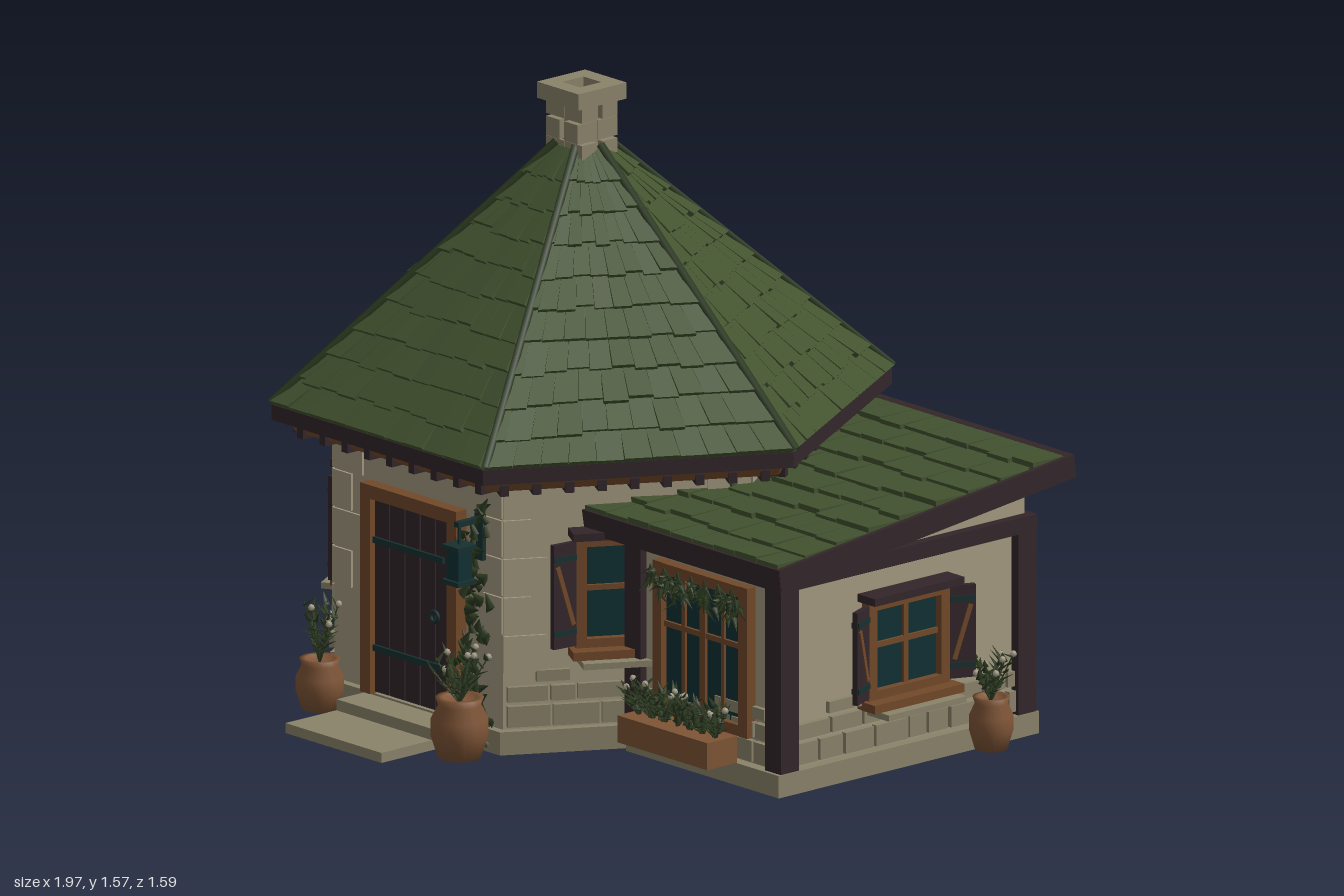
import * as THREE from 'three';
import { mergeGeometries } from 'three/addons/utils/BufferGeometryUtils.js';

const mat = (name, color, extra = {}) => {
  const m = new THREE.MeshStandardMaterial({ color, ...extra });
  m.name = name;
  return m;
};
const D = { side: THREE.DoubleSide };
const M = {
  plaster: mat('plaster', 0xa39a80),
  stone: mat('stone', 0x8a836b),
  roof: mat('roof green', 0x42522f, D),
  trim: mat('dark timber', 0x33262a),
  wood: mat('brown wood', 0x72492a),
  glass: mat('teal glass', 0x103034),
  leaf: mat('leaf green', 0x2c3a20, D),
  clay: mat('clay', 0x7f5536),
  flower: mat('pale flower', 0xa8a08c),
  metal: mat('dark metal', 0x17302f),
};

let seed = 7;
const rnd = (a = 0, b = 1) => {
  seed = (seed * 16807) % 2147483647;
  return a + (b - a) * (seed / 2147483647);
};

const add = (parent, name, geo, material, x = 0, y = 0, z = 0) => {
  const m = new THREE.Mesh(geo, material);
  m.name = name;
  m.position.set(x, y, z);
  parent.add(m);
  return m;
};
const box = (p, name, material, w, h, d, x, y, z) => add(p, name, new THREE.BoxGeometry(w, h, d), material, x, y, z);
const group = (p, name, x = 0, y = 0, z = 0, ry = 0) => {
  const g = new THREE.Group();
  g.name = name;
  g.position.set(x, y, z);
  g.rotation.y = ry;
  p.add(g);
  return g;
};
const hexCylinder = (rt, rb, h) => new THREE.CylinderGeometry(rt, rb, h, 6, 1, false, Math.PI / 6).toNonIndexed();
const flat = (g) => { g.computeVertexNormals(); return g; };

// Hexagonal ring standing on y = 0
function hexRing(ro, ri, h) {
  const pts = (r) => Array.from({ length: 6 }, (_, i) =>
    new THREE.Vector2(r * Math.cos(i * Math.PI / 3), r * Math.sin(i * Math.PI / 3)));
  const s = new THREE.Shape(pts(ro));
  s.holes.push(new THREE.Path(pts(ri)));
  return new THREE.ExtrudeGeometry(s, { depth: h, bevelEnabled: false }).rotateX(-Math.PI / 2);
}

// Courses of uneven stones along the foot of a wall that faces local +z
function stones(p, w) {
  const parts = [];
  [[0.065, 0.06], [0.13, 0.045], [0.18, 0.035]].forEach(([y, h], row) => {
    for (let x = -w / 2; x < w / 2 - 0.02;) {
      const len = Math.min(rnd(0.06, 0.13), w / 2 - x);
      if (row < 2 || rnd() > 0.5)
        parts.push(new THREE.BoxGeometry(len - 0.008, h - 0.006, 0.03).translate(x + len / 2, y + h / 2, rnd(-0.003, 0.002)));
      x += len;
    }
  });
  add(p, 'stone courses', mergeGeometries(parts), M.stone);
}

// Framed window with mullions, ledge, hood and two open shutters
function windowUnit(p, x, y, w, h) {
  const g = group(p, 'window', x, y, 0);
  box(g, 'window glass', M.glass, w - 0.03, h - 0.03, 0.09, 0, 0, -0.038);
  for (const s of [-1, 1]) {
    box(g, 'window jamb', M.wood, 0.028, h, 0.035, s * (w / 2 - 0.014), 0, 0.01);
    box(g, 'window rail', M.wood, w, 0.026, 0.035, 0, s * (h / 2 - 0.013), 0.01);
    const sh = group(g, 'shutter', s * w / 2, 0, 0.02, -s * 0.4);
    box(sh, 'shutter panel', M.trim, 0.07, h - 0.02, 0.014, s * 0.036, 0, 0);
    for (const t of [-1, 1]) box(sh, 'shutter strap', M.metal, 0.066, 0.014, 0.02, s * 0.036, t * h * 0.33, 0);
    box(sh, 'shutter brace', M.wood, 0.012, h * 0.56, 0.022, s * 0.036, 0, 0).rotation.z = -s * 0.3;
  }
  box(g, 'mullion', M.wood, 0.014, h, 0.02, 0, 0, 0.005);
  box(g, 'crossbar', M.wood, w, 0.014, 0.02, 0, 0.01, 0.005);
  box(g, 'window sill', M.wood, w + 0.03, 0.022, 0.07, 0, -h / 2 - 0.008, 0.03);
  box(g, 'stone ledge', M.stone, w - 0.01, 0.016, 0.1, 0, -h / 2 - 0.027, 0.045);
  box(g, 'window hood', M.trim, w + 0.03, 0.02, 0.07, 0, h / 2 + 0.01, 0.03);
}

// Sprays of stems, leaves and small blossoms
function plant(p, x, y, z, spread, height, stems, blossoms = true) {
  const stem = [], bloom = [], up = new THREE.Vector3(0, 1, 0);
  for (let i = 0; i < stems; i++) {
    const a = i * 2.4, r = spread * rnd(0.3, 1), h = height * rnd(0.6, 1);
    const tip = new THREE.Vector3(Math.cos(a) * r, h, Math.sin(a) * r);
    const q = new THREE.Quaternion().setFromUnitVectors(up, tip.clone().normalize());
    const L = tip.length();
    stem.push(new THREE.CylinderGeometry(0.002, 0.003, L, 4).translate(0, L / 2, 0).applyQuaternion(q));
    for (let k = 0; k < 5; k++) {
      const at = tip.clone().multiplyScalar(0.3 + k * 0.16);
      stem.push(new THREE.ConeGeometry(0.009, 0.04, 4).scale(1, 1, 0.35).translate(0, 0.018, 0)
        .rotateX(rnd(0.5, 1.2)).rotateY(rnd(0, 6.28)).translate(at.x, at.y, at.z));
    }
    if (i % 2 === 0) bloom.push(new THREE.SphereGeometry(0.009, 5, 4).translate(tip.x, tip.y, tip.z));
  }
  add(p, 'foliage', mergeGeometries(stem), M.leaf, x, y, z);
  if (blossoms) add(p, 'blossoms', mergeGeometries(bloom), M.flower, x, y, z);
}
const lathe = (pts, n = 18) => new THREE.LatheGeometry(pts.map(([r, y]) => new THREE.Vector2(r, y)), n);
function pottedPlant(p, x, y, z, r, h, plantH) {
  const g = group(p, 'potted plant', x, y, z);
  add(g, 'pot', lathe([[0, 0], [r * 0.75, 0], [r, h * 0.35], [r, h * 0.65], [r * 0.75, h * 0.88], [r * 0.85, h], [r * 0.6, h], [r * 0.55, h * 0.9], [0, h * 0.9]]), M.clay);
  plant(g, 0, h * 0.9, 0, r * 1.15, plantH, 11);
}

// Tile strips on a sloping face; at(u, t, lift) maps u in -1..1 and t in 0..1 to a point
function tiles(rows, columns, at) {
  const pos = [];
  for (let i = 0; i < rows; i++) {
    const n = columns(i / rows);
    for (let j = 0; j < n; j++) {
      const off = i % 2 ? 0.5 / n : 0;
      const u0 = Math.max(-1, -1 + 2 * (j / n - off)), u1 = -1 + 2 * ((j + 1) / n - (j === n - 1 ? 0 : off)) - 0.05 / n;
      const t0 = (i - rnd(0, 0.2) * (i > 0)) / rows, t1 = (i + 1) / rows, lift = rnd(0.012, 0.02);
      const a = at(u0, t0, lift), b = at(u1, t0, lift), c = at(u1, t1, 0.004), d = at(u0, t1, 0.004);
      const e = at(u0, t0, 0), f = at(u1, t0, 0);
      for (const v of [a, b, c, a, c, d, e, f, b, e, b, a, f, c, b, e, a, d]) pos.push(v.x, v.y, v.z);
    }
  }
  const g = new THREE.BufferGeometry();
  g.setAttribute('position', new THREE.Float32BufferAttribute(pos, 3));
  return flat(g);
}

function buildTower(root) {
  const tower = group(root, 'tower', -0.21, 0, -0.03);
  add(tower, 'foundation', hexRing(0.655, 0.54, 0.06), M.stone);
  add(tower, 'tower walls', hexRing(0.63, 0.55, 0.68), M.plaster, 0, 0.055, 0);
  add(tower, 'soffit', flat(hexCylinder(0.75, 0.73, 0.035)), M.wood, 0, 0.722, 0);
  add(tower, 'fascia', flat(hexCylinder(0.79, 0.79, 0.04)), M.trim, 0, 0.757, 0);
  add(tower, 'roof core', flat(hexCylinder(0.05, 0.775, 0.63)), M.roof, 0, 1.092, 0);
  for (let k = 0; k < 6; k++) {
    const side = group(tower, 'tower side', 0, 0, 0, k * Math.PI / 3);
    const slope = new THREE.Vector3(0, 0.625, 0.63).normalize();
    const at = (u, t, lift) => new THREE.Vector3(u * THREE.MathUtils.lerp(0.392, 0.03, t),
      THREE.MathUtils.lerp(0.777, 1.41, t), THREE.MathUtils.lerp(0.682, 0.052, t)).addScaledVector(slope, lift);
    add(side, 'roof tiles', tiles(10, (t) => Math.max(4, Math.round(11 - 5 * t)), at), M.roof);
    const a = at(-1, 0, 0.01), b = at(-1, 1, 0.01);
    add(side, 'hip ridge', new THREE.TubeGeometry(new THREE.LineCurve3(a, b), 1, 0.011, 5), M.leaf);
    for (let i = -4; i <= 4; i++) box(side, 'rafter tail', M.trim, 0.022, 0.028, 0.12, i * 0.083, 0.708, 0.585);
    const wall = group(side, 'wall face', 0, 0, 0.546);
    // Corner blocks
    for (let i = 0; i < 5; i++) for (const s of [-1, 1]) {
      const w = i % 2 ? 0.07 : 0.11;
      if (k || i) box(wall, 'corner block', M.plaster, w, 0.095, 0.012, s * (0.315 - w / 2), 0.255 + i * 0.1, 0);
    }
    if (k) stones(wall, 0.62);
    if (k && k !== 2) windowUnit(wall, 0, 0.41, 0.27, 0.29);
    if (k === 0) buildDoor(wall);
  }
  // Chimney
  const c = group(tower, 'chimney', 0, 1.36, 0);
  box(c, 'chimney core', M.stone, 0.1, 0.16, 0.1, 0, 0.08, 0);
  for (let r = 0; r < 3; r++) for (const sx of [-1, 1]) for (const sz of [-1, 1])
    box(c, 'chimney block', M.stone, r % 2 ? 0.05 : 0.066, 0.05, r % 2 ? 0.066 : 0.05, sx * 0.034, 0.04 + r * 0.054, sz * 0.034);
  for (const s of [-1, 1]) {
    box(c, 'chimney cap', M.stone, 0.155, 0.042, 0.045, 0, 0.185, s * 0.058);
    box(c, 'chimney cap', M.stone, 0.045, 0.042, 0.08, s * 0.055, 0.185, 0);
  }
}

function buildDoor(wall) {
  const d = group(wall, 'door', 0, 0, 0);
  box(d, 'door backing', M.trim, 0.29, 0.52, 0.085, 0, 0.32, -0.036);
  for (let i = -2; i <= 2; i++) box(d, 'door plank', M.trim, 0.053, 0.51, 0.02, i * 0.057, 0.32, 0.01);
  for (const s of [-1, 1]) box(d, 'door post', M.wood, 0.036, 0.54, 0.05, s * 0.161, 0.33, 0.01);
  box(d, 'door lintel', M.wood, 0.358, 0.035, 0.052, 0, 0.585, 0.01);
  for (const y of [0.18, 0.46]) box(d, 'door strap', M.metal, 0.26, 0.016, 0.01, -0.01, y, 0.023);
  add(d, 'door ring', new THREE.TorusGeometry(0.014, 0.005, 6, 14), M.metal, 0.09, 0.31, 0.028);
  box(d, 'upper step', M.stone, 0.355, 0.055, 0.13, 0, 0.0275, 0.05);
  box(d, 'lower step', M.stone, 0.358, 0.026, 0.27, 0, 0.013, 0.15);
}

function buildAnnex(root) {
  const an = group(root, 'annex');
  box(an, 'annex foundation', M.stone, 0.57, 0.058, 0.87, 0.585, 0.031, -0.155);
  // Walls whose top follows the lean-to slope
  const walls = new THREE.BoxGeometry(0.53, 1, 0.82).translate(0.575, 0.5, -0.16);
  const p = walls.attributes.position;
  for (let i = 0; i < p.count; i++) p.setY(i, p.getY(i) < 0.5 ? 0.05 : 0.588 - 0.111 * (p.getZ(i) - 0.25));
  add(an, 'annex walls', flat(walls), M.plaster);
  for (const x of [0.313, 0.837]) for (const z of [0.24, -0.555])
    box(an, 'corner post', M.trim, 0.06, 0.51, 0.06, x, 0.313, z);
  for (const z of [0.24, -0.555]) box(an, 'tie beam', M.trim, 0.58, 0.04, 0.05, 0.575, 0.55, z);
  box(an, 'side beam', M.trim, 0.05, 0.042, 0.86, 0.842, 0.55, -0.157);
  // Lean-to roof
  const r = group(an, 'annex roof', 0.57, 0.645, -0.155);
  r.rotation.x = 0.111;
  box(r, 'roof board', M.roof, 0.72, 0.03, 0.97, 0, 0.008, 0);
  for (const s of [-1, 1]) {
    box(r, 'eave board', M.trim, 0.74, 0.06, 0.022, 0, 0, s * 0.486);
    box(r, 'verge board', M.trim, 0.022, 0.06, 0.99, s * 0.36, 0, 0);
  }
  add(r, 'annex tiles', tiles(9, () => 9, (u, t, l) => new THREE.Vector3(u * 0.36, 0.025 + l, 0.49 - t * 0.97)), M.roof);
  // Side and back faces
  const right = group(an, 'annex side', 0.84, 0, -0.16, Math.PI / 2);
  stones(right, 0.74);
  windowUnit(right, 0, 0.32, 0.27, 0.26);
  const back = group(an, 'annex back', 0.575, 0, -0.57, Math.PI);
  stones(back, 0.47);
  windowUnit(back, 0, 0.34, 0.25, 0.26);
  // Wide front window with planter and hanging greenery
  const f = group(an, 'annex front', 0.575, 0, 0.25);
  stones(f, 0.47);
  box(f, 'wide glass', M.glass, 0.3, 0.36, 0.02, 0, 0.33, 0.002);
  for (const s of [-1, 1]) {
    box(f, 'wide window jamb', M.wood, 0.032, 0.39, 0.04, s * 0.16, 0.325, 0.01);
    box(f, 'wide window rail', M.wood, 0.35, 0.028, 0.04, 0, 0.325 + s * 0.18, 0.01);
    box(f, 'wide mullion', M.wood, 0.012, 0.36, 0.022, s * 0.073, 0.325, 0.008);
  }
  box(f, 'wide mullion', M.wood, 0.02, 0.36, 0.026, 0, 0.325, 0.008);
  box(f, 'wide crossbar', M.wood, 0.3, 0.014, 0.024, 0, 0.36, 0.008);
  box(f, 'planter', M.clay, 0.335, 0.07, 0.1, 0, 0.107, 0.105);
  for (let i = 0; i < 7; i++) {
    plant(f, -0.14 + i * 0.047, 0.13, 0.105, 0.04, 0.1, 7, i % 3 === 0);
    const hang = group(f, 'hanging greenery', -0.15 + i * 0.05, 0.52, 0.06);
    hang.rotation.x = Math.PI;
    plant(hang, 0, 0, 0, 0.03, rnd(0.04, 0.1), 4, false);
  }
}

function buildYard(root) {
  pottedPlant(root, -0.485, 0.005, 0.6, 0.06, 0.13, 0.16);
  pottedPlant(root, 0.07, 0.005, 0.63, 0.072, 0.155, 0.14);
  pottedPlant(root, 0.91, 0.01, -0.395, 0.055, 0.135, 0.13);
  // Climbing vine
  const vine = group(root, 'climbing vine', 0.03, 0, 0.54);
  const leaves = [];
  for (let i = 0; i < 70; i++)
    leaves.push(new THREE.ConeGeometry(0.017, 0.05, 4).scale(1, 1, 0.3).rotateZ(rnd(-1.6, 1.6)).rotateX(rnd(-0.4, 0.4))
      .translate(Math.sin(i * 0.2) * 0.02 + rnd(-0.03, 0.03), 0.03 + i * 0.0088, rnd(-0.01, 0.02)));
  add(vine, 'vine leaves', mergeGeometries(leaves), M.leaf);
  // Lantern on a bracket
  const l = group(root, 'lantern', 0.035, 0, 0.6);
  box(l, 'lantern bracket', M.metal, 0.016, 0.014, 0.09, 0, 0.595, -0.035);
  box(l, 'lantern plate', M.metal, 0.03, 0.12, 0.012, 0, 0.55, -0.07);
  box(l, 'lantern hanger', M.metal, 0.006, 0.06, 0.006, 0, 0.565, 0);
  box(l, 'lantern glass', M.glass, 0.045, 0.08, 0.045, 0, 0.49, 0);
  for (const y of [0.447, 0.537]) box(l, 'lantern plate', M.metal, 0.062, 0.012, 0.062, 0, y, 0);
  // Rain barrel
  const b = group(root, 'barrel', -0.17, 0.01, -0.7);
  add(b, 'barrel staves', lathe([[0, 0], [0.075, 0], [0.088, 0.05], [0.093, 0.09], [0.088, 0.13], [0.075, 0.18], [0.065, 0.18], [0.066, 0.165]], 20), M.trim);
  add(b, 'barrel water', new THREE.CylinderGeometry(0.068, 0.068, 0.004, 20), M.glass, 0, 0.168, 0);
  for (const [y, r] of [[0.03, 0.083], [0.06, 0.09], [0.12, 0.09], [0.155, 0.082]])
    add(b, 'barrel hoop', new THREE.CylinderGeometry(r + 0.003, r + 0.003, 0.012, 20), M.metal, 0, y, 0);
}

export function createModel() {
  const root = new THREE.Group();
  root.name = 'cottage';
  buildTower(root);
  buildAnnex(root);
  buildYard(root);
  return root;
}
